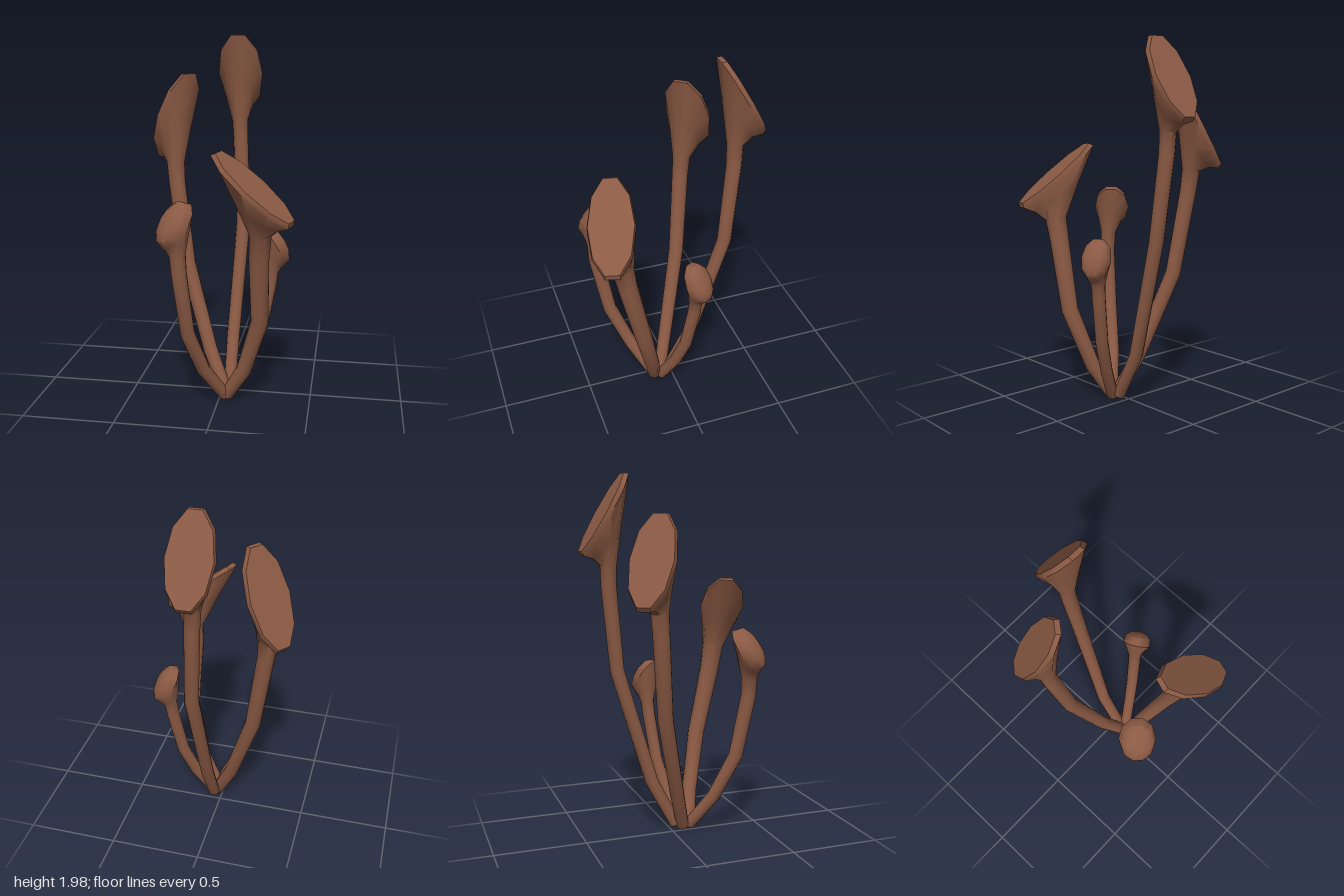
import * as THREE from 'three';
import { toCreasedNormals } from 'three/addons/utils/BufferGeometryUtils.js';

const SIDES = 10;
const V = (a) => new THREE.Vector3(...a);

// Skin a list of rings {c, u, v} into a closed tube.
function loft(rings) {
  const pos = [], index = [];
  for (const { c, u, v } of rings) {
    for (let i = 0; i < SIDES; i++) {
      const a = (i / SIDES) * Math.PI * 2;
      const p = c.clone().addScaledVector(u, Math.cos(a)).addScaledVector(v, Math.sin(a));
      pos.push(p.x, p.y, p.z);
    }
  }
  for (let r = 0; r < rings.length - 1; r++) {
    for (let i = 0; i < SIDES; i++) {
      const j = (i + 1) % SIDES;
      const a = r * SIDES + i, b = r * SIDES + j;
      index.push(a, b, b + SIDES, a, b + SIDES, a + SIDES);
    }
  }
  // end faces
  const last = (rings.length - 1) * SIDES;
  for (let i = 1; i < SIDES - 1; i++) {
    index.push(0, i + 1, i, last, last + i, last + i + 1);
  }
  const g = new THREE.BufferGeometry();
  g.setAttribute('position', new THREE.Float32BufferAttribute(pos, 3));
  g.setIndex(index);
  return toCreasedNormals(g, 0.85);
}

// One mushroom: round stem along a path, flaring into a tilted cap.
function mushroom({ path, r0, r1, centre, u, v, dome }) {
  const pts = path.map(V), c = V(centre), U = V(u), W = V(v);
  const n = U.clone().cross(W).normalize();
  if (n.y < 0) { U.negate(); n.negate(); }

  const stem = pts.map((p, i) => {
    const t = pts[Math.min(i + 1, pts.length - 1)].clone().sub(pts[Math.max(i - 1, 0)]).normalize();
    const e1 = U.clone().addScaledVector(t, -U.dot(t)).normalize();
    const e2 = t.clone().cross(e1);
    const r = r0 + (r1 - r0) * (i / (pts.length - 1));
    return { c: p, u: e1.multiplyScalar(r), v: e2.multiplyScalar(r) };
  });

  const neck = stem[stem.length - 1];
  const ring = (lift, s) => ({
    c: c.clone().addScaledVector(n, lift), u: U.clone().multiplyScalar(s), v: W.clone().multiplyScalar(s),
  });
  const rim = ring(-0.025, 1);
  const flare = {
    c: neck.c.clone().lerp(rim.c, 0.5),
    u: neck.u.clone().lerp(rim.u, 0.45),
    v: neck.v.clone().lerp(rim.v, 0.45),
  };
  const top = dome
    ? [ring(dome * 0.4, 0.9), ring(dome * 0.8, 0.62), ring(dome, 0.3)]
    : [ring(0, 0.95)];
  return loft([...stem, flare, rim, ...top]);
}

const MUSHROOMS = {
  tallBackMushroom: {
    path: [[0.045, 0.04, 0.03], [0.045, 0.3, -0.11], [0.075, 0.94, -0.295], [0.05, 1.4, -0.343], [0.045, 1.51, -0.345]],
    r0: 0.034, r1: 0.045, centre: [0.045, 1.785, -0.382], u: [0.125, 0, 0], v: [0, 0.222, 0.128],
  },
  backRightMushroom: {
    path: [[0.03, 0.03, 0.07], [-0.07, 0.25, 0], [-0.22, 0.72, -0.12], [-0.287, 1.18, -0.165], [-0.295, 1.29, -0.175]],
    r0: 0.036, r1: 0.05, centre: [-0.31, 1.555, -0.222], u: [-0.08, 0, 0.096], v: [0.1, 0.25, 0.083],
  },
  frontWideMushroom: {
    path: [[0.04, 0.03, 0.11], [0.14, 0.2, 0.15], [0.235, 0.52, 0.23], [0.237, 0.88, 0.31], [0.245, 1.02, 0.335]],
    r0: 0.036, r1: 0.06, centre: [0.22, 1.27, 0.38], u: [0.21, -0.165, 0.02], v: [0.03, -0.06, 0.131],
  },
  frontBudMushroom: {
    path: [[0.03, 0.03, 0.11], [-0.07, 0.22, 0.22], [-0.135, 0.46, 0.32], [-0.165, 0.8, 0.378], [-0.172, 0.9, 0.378]],
    r0: 0.034, r1: 0.044, centre: [-0.195, 1.065, 0.37], u: [0.07, 0, 0.07], v: [0.055, 0.112, -0.055], dome: 0.05,
  },
  leftBudMushroom: {
    path: [[0.06, 0.03, 0.07], [0.15, 0.2, 0.015], [0.215, 0.38, -0.025], [0.26, 0.64, -0.055], [0.268, 0.71, -0.06]],
    r0: 0.032, r1: 0.038, centre: [0.295, 0.855, -0.07], u: [0.038, 0, 0.07], v: [-0.05, 0.105, 0.028], dome: 0.045,
  },
};

export function createModel() {
  const group = new THREE.Group();
  group.name = 'mushroomCluster';
  const brown = new THREE.MeshStandardMaterial({ color: 0x8b5a44 });
  brown.name = 'mushroom brown';
  for (const [name, spec] of Object.entries(MUSHROOMS)) {
    const mesh = new THREE.Mesh(mushroom(spec), brown);
    mesh.name = name;
    group.add(mesh);
  }
  return group;
}
